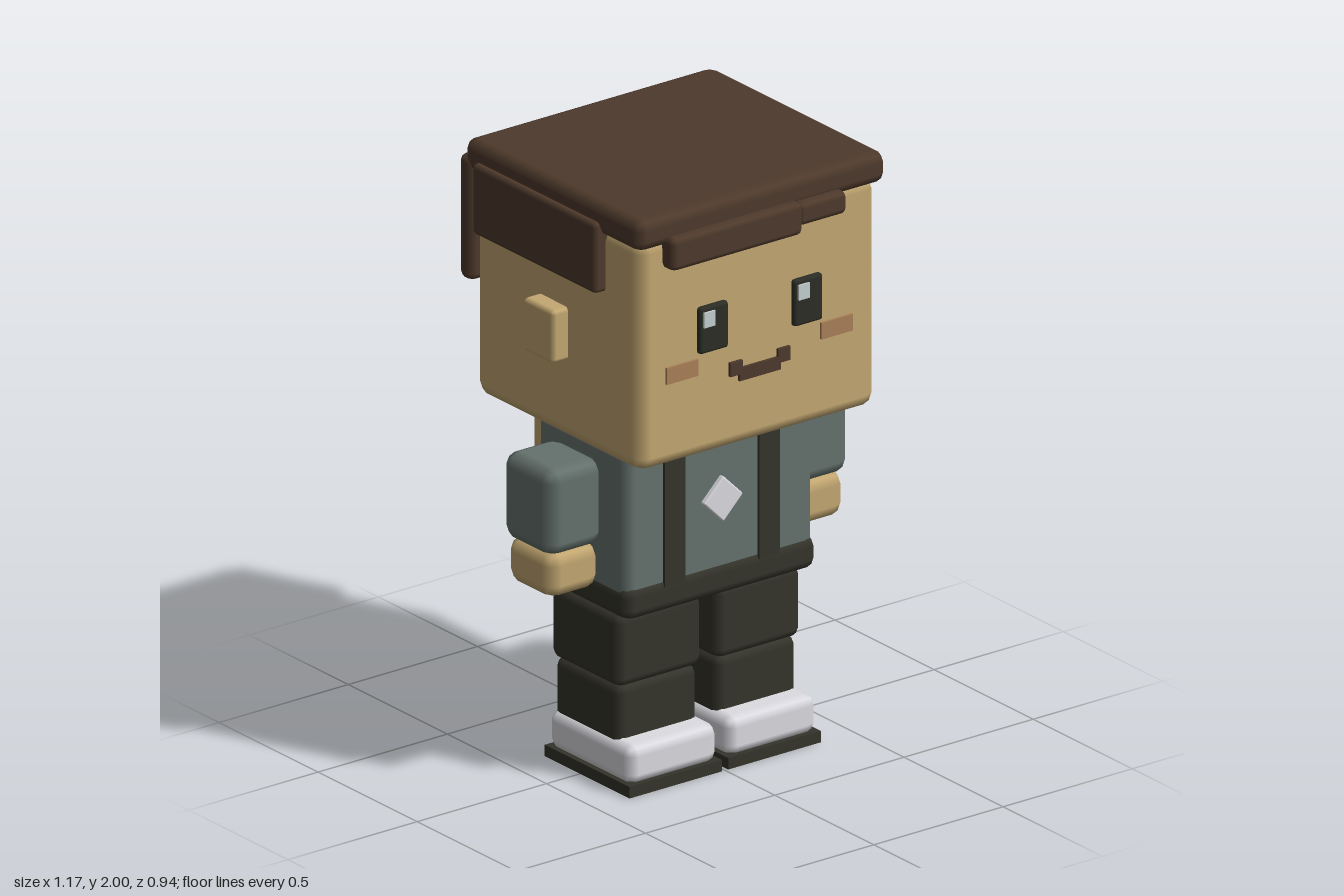
import * as THREE from 'three';
import { RoundedBoxGeometry } from 'three/addons/geometries/RoundedBoxGeometry.js';

const mat = (name, color) => {
  const m = new THREE.MeshStandardMaterial({ color });
  m.name = name;
  return m;
};

export function createModel() {
  const root = new THREE.Group();
  root.name = 'blockFigure';

  const skin = mat('skin', 0xc4a872);
  const hair = mat('hairBrown', 0x4e3a2c);
  const shirt = mat('shirtGrey', 0x65726d);
  const dark = mat('trouserCharcoal', 0x35342b);
  const white = mat('white', 0xdcdce2);
  const blush = mat('blush', 0xab8058);
  const eyeDark = mat('eyeDark', 0x2c2e26);
  const glint = mat('eyeGlint', 0xc4d0d0);
  const leather = mat('pocketLeather', 0x93694a);

  // Box from its limits on each axis; r > 0 bevels the edges
  const box = (parent, name, material, [x0, x1], [y0, y1], [z0, z1], r = 0) => {
    const w = x1 - x0, h = y1 - y0, d = z1 - z0;
    const geo = r ? new RoundedBoxGeometry(w, h, d, 1, r) : new THREE.BoxGeometry(w, h, d);
    const mesh = new THREE.Mesh(geo, material);
    mesh.name = name;
    mesh.position.set((x0 + x1) / 2, (y0 + y1) / 2, (z0 + z1) / 2);
    parent.add(mesh);
    return mesh;
  };
  // The same box on both sides of x = 0
  const pair = (parent, name, material, [x0, x1], y, z, r) => {
    box(parent, 'left' + name, material, [x0, x1], y, z, r);
    box(parent, 'right' + name, material, [-x1, -x0], y, z, r);
  };
  const group = (name) => {
    const g = new THREE.Group();
    g.name = name;
    root.add(g);
    return g;
  };

  // Head and ears
  const head = group('head');
  box(head, 'skull', skin, [-0.46, 0.46], [1.15, 1.92], [-0.418, 0.418], 0.045);
  pair(head, 'Ear', skin, [0.44, 0.52], [1.415, 1.592], [-0.096, 0.058], 0.015);

  // Face details
  const face = group('face');
  pair(face, 'Eye', eyeDark, [0.127, 0.238], [1.5, 1.655], [0.4, 0.436], 0.01);
  box(face, 'rightEyeGlint', glint, [-0.228, -0.185], [1.59, 1.64], [0.435, 0.443]);
  box(face, 'leftEyeGlint', glint, [0.138, 0.181], [1.59, 1.64], [0.435, 0.443]);
  pair(face, 'Cheek', blush, [0.238, 0.36], [1.43, 1.485], [0.41, 0.426]);
  box(face, 'mouth', hair, [-0.08, 0.08], [1.372, 1.415], [0.41, 0.428]);
  pair(face, 'MouthCorner', hair, [0.069, 0.116], [1.395, 1.441], [0.41, 0.429]);

  // Hair slabs
  const hairGroup = group('hair');
  box(hairGroup, 'hairTop', hair, [-0.482, 0.482], [1.895, 2], [-0.445, 0.442], 0.035);
  box(hairGroup, 'hairBack', hair, [-0.482, 0.482], [1.525, 1.94], [-0.472, -0.405], 0.025);
  pair(hairGroup, 'HairSide', hair, [0.44, 0.502], [1.705, 1.94], [-0.376, 0.247], 0.015);
  box(hairGroup, 'longFringe', hair, [-0.372, 0.135], [1.818, 1.928], [0.4, 0.472], 0.02);
  box(hairGroup, 'shortFringe', hair, [0.12, 0.307], [1.845, 1.922], [0.4, 0.47], 0.02);

  // Torso with collar, braces, badge and belt
  const torso = group('torso');
  box(torso, 'shirt', shirt, [-0.365, 0.365], [0.63, 1.135], [-0.228, 0.226], 0.035);
  box(torso, 'collar', white, [-0.145, 0.145], [1.08, 1.143], [0.18, 0.236]);
  box(torso, 'neck', white, [-0.145, 0.145], [1.1, 1.155], [-0.2, 0.2]);
  pair(torso, 'Brace', dark, [0.143, 0.222], [0.66, 1.132], [0.2, 0.236]);
  const badge = box(torso, 'diamondBadge', white, [-0.054, 0.054], [0.846, 0.954], [0.215, 0.244], 0.006);
  badge.rotation.z = Math.PI / 4;
  box(torso, 'belt', dark, [-0.37, 0.37], [0.573, 0.685], [-0.236, 0.236], 0.035);

  // Arms and hands
  const arms = group('arms');
  pair(arms, 'Sleeve', shirt, [0.37, 0.583], [0.8, 1.09], [-0.124, 0.124], 0.045);
  pair(arms, 'Hand', skin, [0.375, 0.573], [0.655, 0.81], [-0.114, 0.114], 0.045);

  // Legs and shoes
  const legs = group('legs');
  pair(legs, 'Thigh', dark, [0.028, 0.355], [0.33, 0.572], [-0.174, 0.174], 0.03);
  pair(legs, 'Shin', dark, [0.037, 0.346], [0.08, 0.335], [-0.164, 0.164], 0.03);
  pair(legs, 'Shoe', white, [0.019, 0.364], [0.03, 0.16], [-0.174, 0.244], 0.035);
  pair(legs, 'Sole', dark, [0.012, 0.37], [0, 0.038], [-0.178, 0.25]);

  // Backpack with pocket and carrying loop
  const pack = group('backpack');
  box(pack, 'pack', skin, [-0.27, 0.27], [0.7, 1.097], [-0.386, -0.22], 0.04);
  box(pack, 'packPocket', leather, [-0.19, 0.19], [0.738, 0.882], [-0.412, -0.37], 0.015);
  box(pack, 'packLoop', dark, [-0.05, 0.05], [1.08, 1.142], [-0.274, -0.21], 0.01);

  return root;
}
